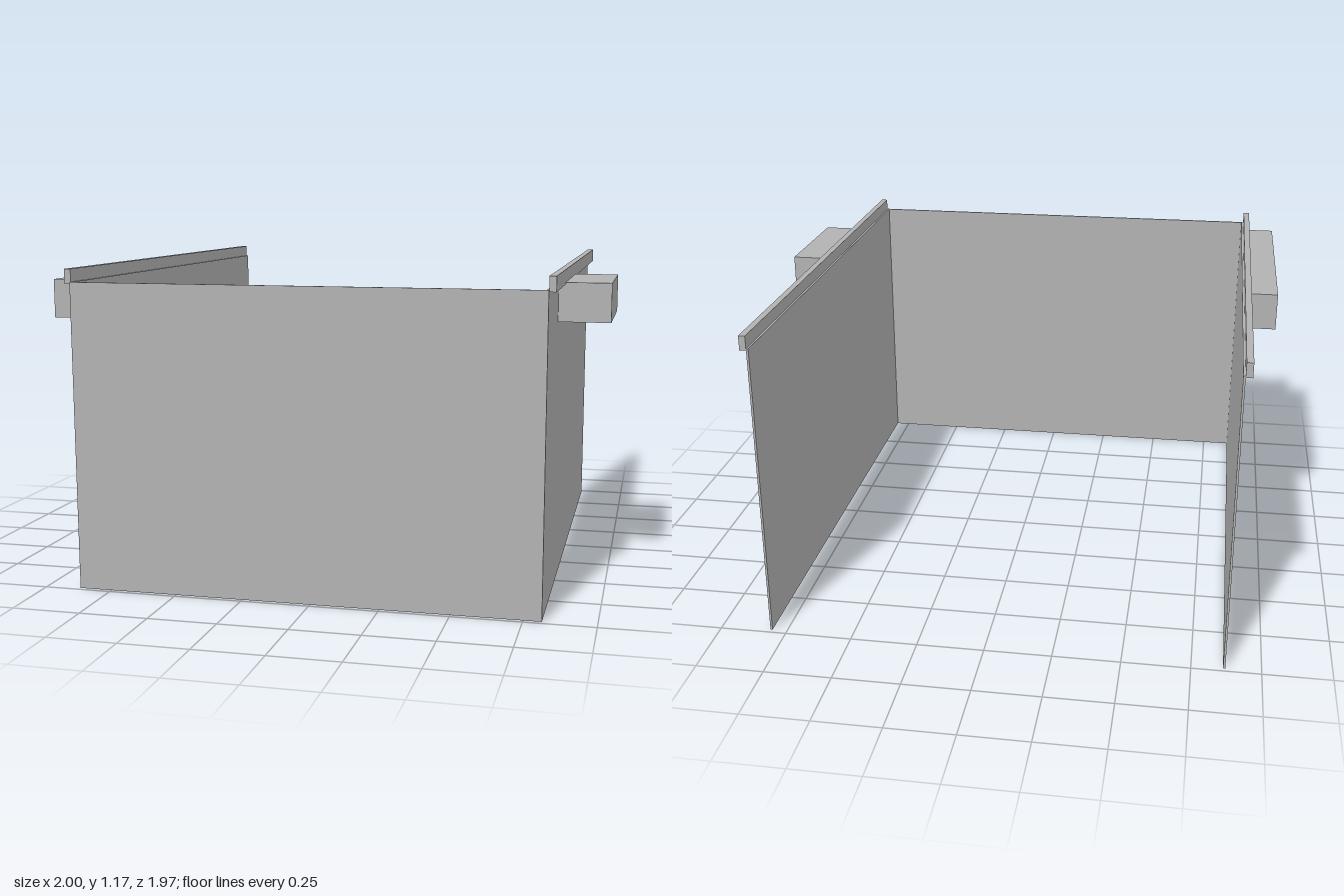
import * as THREE from 'three';

export function createModel() {
  const group = new THREE.Group();
  const grey = new THREE.MeshStandardMaterial({ color: 0xb2b2b2 });
  grey.name = 'plain grey';

  // Box given by its minimum and maximum on each axis
  function block(name, [x0, x1], [y0, y1], [z0, z1]) {
    const mesh = new THREE.Mesh(new THREE.BoxGeometry(x1 - x0, y1 - y0, z1 - z0), grey);
    mesh.position.set((x0 + x1) / 2, (y0 + y1) / 2, (z0 + z1) / 2);
    mesh.name = name;
    group.add(mesh);
  }

  const top = 1.12, depth = 0.983, t = 0.008;
  const rightX = -0.872, leftX = 0.814; // outer faces of the side walls

  // Three thin walls, open at the back
  block('frontWall', [rightX + t, leftX - t], [0, top], [depth - t, depth]);
  block('rightWall', [rightX, rightX + t], [0, top], [-depth, depth]);
  block('leftWall', [leftX - t, leftX], [0, top], [-depth, depth]);

  // Rails along the outer top edges of the side walls
  block('rightRail', [rightX - 0.024, rightX], [1.113, 1.166], [-depth, 0.973]);
  block('leftRail', [leftX, leftX + 0.024], [1.113, 1.166], [-depth, 0.973]);

  // Boxes hung outside, below the rails
  block('rightSideBox', [-1, rightX], [0.98, top], [-0.105, 0.847]);
  block('leftSideBox', [leftX, 1], [0.98, top], [0.118, 0.605]);

  return group;
}
